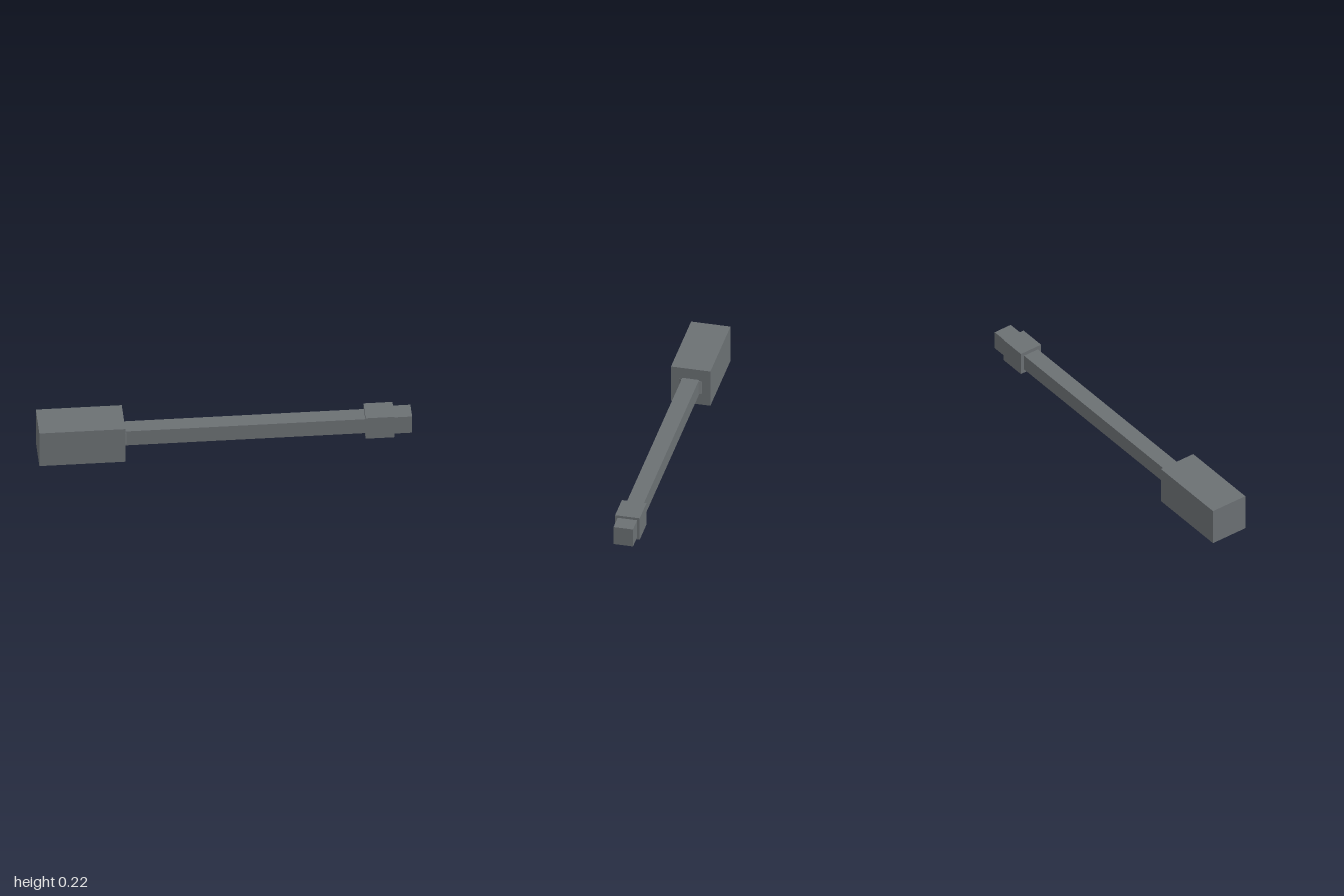
import * as THREE from 'three';

export function createModel() {
  const group = new THREE.Group();
  const steel = new THREE.MeshStandardMaterial({ color: 0x6b7073 });
  steel.name = 'steel grey';
  const axisY = 0.108;

  function add(name, geometry, x) {
    const mesh = new THREE.Mesh(geometry, steel);
    mesh.name = name;
    mesh.position.set(x, axisY, 0);
    group.add(mesh);
  }

  // Square sections strung along the x axis: name, start, end, thickness
  const sections = [
    ['headBlock', -1, -0.54, 0.216],
    ['shaft', -0.54, 0.75, 0.092],
    ['collar', 0.75, 0.905, 0.135],
    ['endTip', 0.905, 1, 0.107],
  ];
  for (const [name, x0, x1, size] of sections) {
    add(name, new THREE.BoxGeometry(x1 - x0, size, size), (x0 + x1) / 2);
  }

  // Upright pivot pin, mostly sunk in the block, showing beside the shaft
  const pin = new THREE.CylinderGeometry(0.086, 0.086, 0.076, 16).toNonIndexed();
  pin.computeVertexNormals();
  add('pivotPin', pin, -0.6);

  return group;
}
